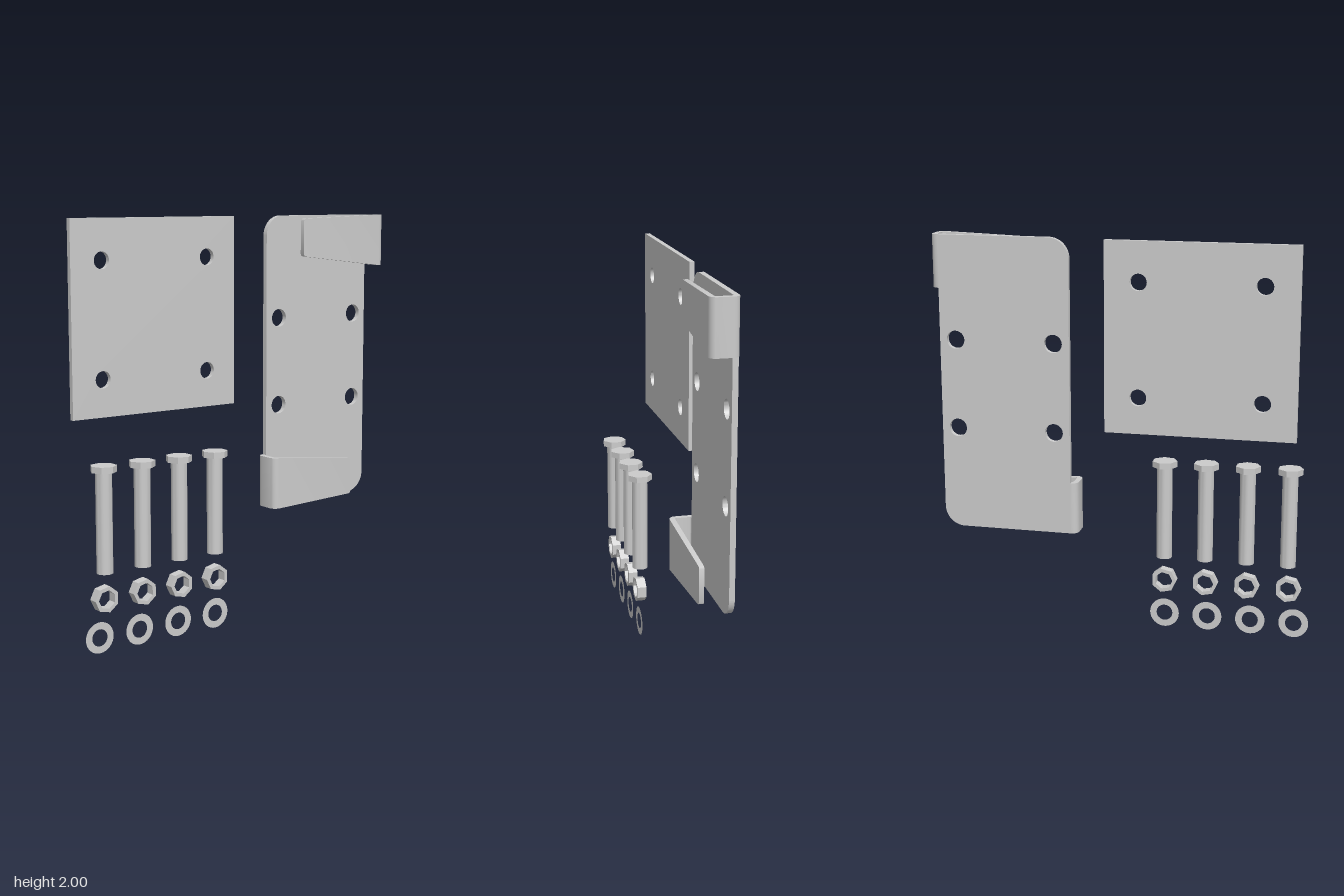
import * as THREE from 'three';
import { toCreasedNormals } from 'three/addons/utils/BufferGeometryUtils.js';

const grey = new THREE.MeshStandardMaterial({ color: 0xcccccc });
const greyThin = new THREE.MeshStandardMaterial({ color: 0xcccccc, side: THREE.DoubleSide });

function part(name, geometry, x, y, z, material = grey) {
  const mesh = new THREE.Mesh(toCreasedNormals(geometry, 0.6), material);
  mesh.name = name;
  mesh.position.set(x, y, z);
  return mesh;
}

function extrude(shape, depth) {
  return new THREE.ExtrudeGeometry(shape, { depth, bevelEnabled: false, curveSegments: 16 });
}

// Four round holes at (+-dx, +-dy) around (cx, cy)
function punch(shape, cx, cy, dx, dy, r) {
  for (const sx of [-1, 1]) for (const sy of [-1, 1]) {
    shape.holes.push(new THREE.Path().absarc(cx + sx * dx, cy + sy * dy, r, 0, Math.PI * 2, true));
  }
  return shape;
}

// Seven-sided outline with one corner towards -x
function heptagon(r) {
  return Array.from({ length: 7 }, (_, i) => {
    const a = Math.PI + (i * Math.PI * 2) / 7;
    return new THREE.Vector2(r * Math.cos(a), r * Math.sin(a));
  });
}

// Bent strip: each section is [outerX, outerZ, innerX, innerZ, lowY, highY]
function bentStrip(sections) {
  const pos = [], index = [];
  for (const [ox, oz, ix, iz, lo, hi] of sections) {
    pos.push(ox, lo, oz, ox, hi, oz, ix, hi, iz, ix, lo, iz);
  }
  for (let s = 0; s < sections.length - 1; s++) {
    for (let k = 0; k < 4; k++) {
      const a = s * 4 + k, b = s * 4 + ((k + 1) % 4);
      index.push(a, b, b + 4, a, b + 4, a + 4);
    }
  }
  const e = (sections.length - 1) * 4;
  index.push(0, 2, 1, 0, 3, 2, e, e + 1, e + 2, e, e + 2, e + 3);
  const g = new THREE.BufferGeometry();
  g.setAttribute('position', new THREE.Float32BufferAttribute(pos, 3));
  g.setIndex(index);
  return g;
}

// Hook wrapping forward from the plate's side, ending in a tapered flap
function hookGeometry() {
  const lo = 0.475, hi = 0.735, t = 0.027, R = 0.035, r = 0.012;
  const x = 0.362, back = -0.11, front = 0.027;
  const sections = [[0.32, back, 0.32, back + t, lo, hi]];
  const bend = (zEdge, dir, from) => {
    for (let i = 0; i <= 5; i++) {
      const a = from + (i / 5) * (Math.PI / 2);
      sections.push([
        x - R + R * Math.cos(a), zEdge + dir * R + R * Math.sin(a),
        x - t - r + r * Math.cos(a), zEdge + dir * (t + r) + r * Math.sin(a), lo, hi,
      ]);
    }
  };
  bend(back, 1, -Math.PI / 2);
  bend(front, -1, 0);
  // Flap leans slightly inwards, with a softened tip
  sections.push([-0.152, 0.013, -0.152, -0.012, 0.531, 0.72]);
  sections.push([-0.161, 0.012, -0.161, -0.013, 0.535, 0.716]);
  sections.push([-0.165, 0.012, -0.165, -0.013, 0.545, 0.707]);
  return bentStrip(sections);
}

function createBracket() {
  const bracket = new THREE.Group();
  bracket.name = 'bracket';
  const w = 0.327, h = 0.735, c = 0.1;
  // Two opposite corners rounded, the other two run into the hooks
  const outline = new THREE.Shape();
  outline.moveTo(-w, -h);
  outline.lineTo(w - c, -h);
  outline.absarc(w - c, -h + c, c, -Math.PI / 2, 0, false);
  outline.lineTo(w, h);
  outline.lineTo(-w + c, h);
  outline.absarc(-w + c, h - c, c, Math.PI / 2, Math.PI, false);
  outline.closePath();
  punch(outline, 0, 0, 0.247, 0.222, 0.045);
  bracket.add(part('bracketPlate', extrude(outline, 0.027), 0, 0, -0.11));

  const upper = part('upperHook', hookGeometry(), 0, 0, 0);
  const lower = part('lowerHook', hookGeometry(), 0, 0, 0);
  lower.rotation.z = Math.PI;
  bracket.add(upper, lower);
  bracket.position.set(0.568, 1.265, 0);
  return bracket;
}

export function createModel() {
  const model = new THREE.Group();
  model.name = 'mountingKit';

  // Flat square plate
  const square = new THREE.Shape([
    new THREE.Vector2(-0.465, -0.465), new THREE.Vector2(0.465, -0.465),
    new THREE.Vector2(0.465, 0.465), new THREE.Vector2(-0.465, 0.465),
  ]);
  punch(square, 0.0, -0.008, 0.299, 0.278, 0.041);
  model.add(part('backingPlate', extrude(square, 0.025), -0.405, 1.535, -0.138));

  model.add(createBracket());

  // Fasteners: four bolts, nuts and paper-thin washers
  const nutShape = new THREE.Shape(heptagon(0.064));
  nutShape.holes.push(new THREE.Path(heptagon(0.045).reverse()));
  for (let i = 0; i < 4; i++) {
    const bolt = new THREE.Group();
    bolt.name = 'bolt' + (i + 1);
    bolt.add(
      part('boltHead', new THREE.CylinderGeometry(0.063, 0.063, 0.03, 7, 1, false, -Math.PI / 2), 0, 0.87, 0),
      part('boltShaft', new THREE.CylinderGeometry(0.039, 0.039, 0.477, 24), 0, 0.6165, 0),
    );
    bolt.position.set(-0.825 + i * 0.209, 0, 0.075);
    model.add(bolt);
    model.add(part('nut' + (i + 1), extrude(nutShape, 0.047), -0.83 + i * 0.21, 0.257, 0.054));
    model.add(part('washer' + (i + 1), new THREE.RingGeometry(0.041, 0.075, 32), -0.861 + i * 0.22, 0.075, 0.08, greyThin));
  }
  return model;
}
